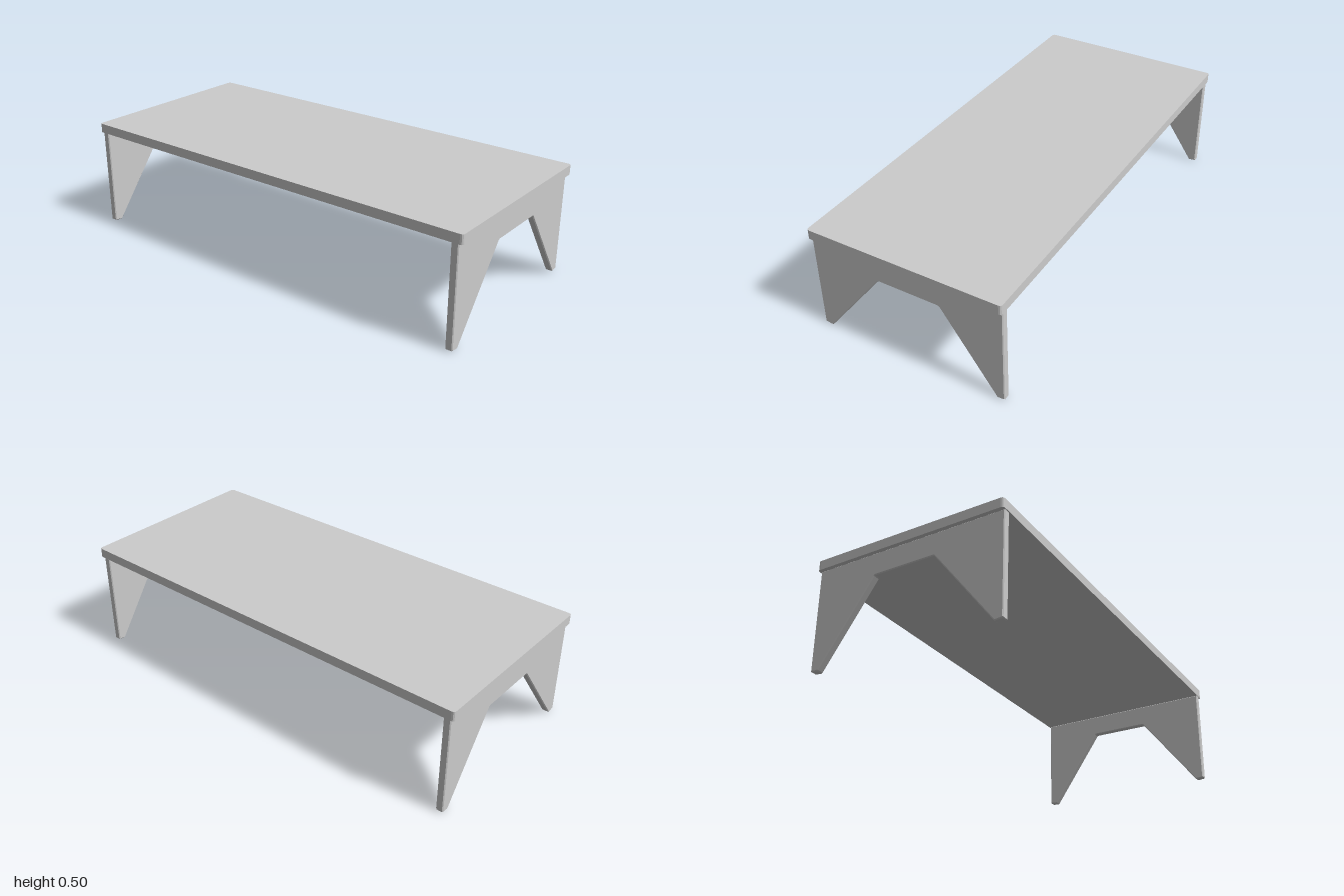
import * as THREE from 'three';

const material = new THREE.MeshStandardMaterial({ color: 0xcccccc, flatShading: true });

export function createModel() {
  const model = new THREE.Group();
  model.name = 'lowTable';

  // Table top: rectangle with lightly rounded vertical corners
  const w = 1, d = 0.447, r = 0.014;
  const plan = new THREE.Shape();
  plan.moveTo(-w + r, -d);
  plan.lineTo(w - r, -d);
  plan.quadraticCurveTo(w, -d, w, -d + r);
  plan.lineTo(w, d - r);
  plan.quadraticCurveTo(w, d, w - r, d);
  plan.lineTo(-w + r, d);
  plan.quadraticCurveTo(-w, d, -w, d - r);
  plan.lineTo(-w, -d + r);
  plan.quadraticCurveTo(-w, -d, -w + r, -d);
  const topGeometry = new THREE.ExtrudeGeometry(plan, { depth: 0.043, bevelEnabled: false, curveSegments: 3 });
  topGeometry.rotateX(Math.PI / 2);
  const top = new THREE.Mesh(topGeometry, material);
  top.name = 'tableTop';
  top.position.y = 0.503;
  model.add(top);

  // End panels: a trapezoid cutout leaves two tapering feet; profile is (z, y)
  const profile = new THREE.Shape([
    [-0.441, 0.461], [-0.441, 0.007], [-0.436, 0.005], [-0.409, 0.002], [-0.404, 0.006],
    [-0.158, 0.356], [-0.153, 0.359], [0.126, 0.359], [0.131, 0.356],
    [0.402, 0.006], [0.407, 0.002], [0.438, 0.005], [0.443, 0.008], [0.443, 0.461],
  ].map(([z, y]) => new THREE.Vector2(z, y)));
  const bevel = 0.004, thickness = 0.033;
  const panelGeometry = new THREE.ExtrudeGeometry(profile, {
    depth: thickness - 2 * bevel, bevelThickness: bevel,
    bevelSize: bevel, bevelOffset: -bevel, bevelSegments: 1,
  });
  panelGeometry.translate(0, 0, bevel - thickness / 2);
  panelGeometry.rotateY(-Math.PI / 2);
  for (const [name, x] of [['leftLegPanel', 0.965], ['rightLegPanel', -0.968]]) {
    const panel = new THREE.Mesh(panelGeometry, material);
    panel.name = name;
    panel.position.x = x;
    model.add(panel);
  }
  return model;
}
